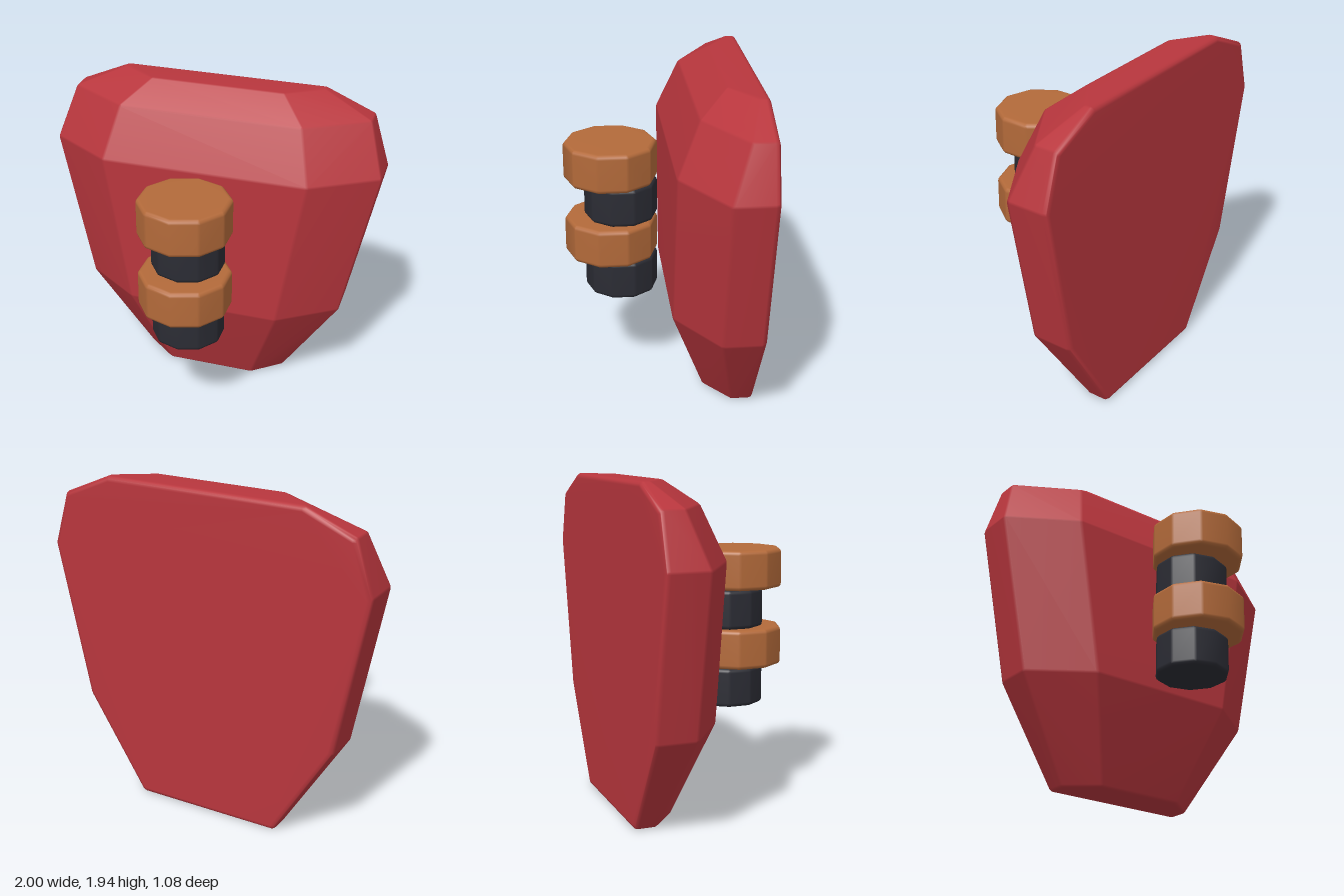
import * as THREE from 'three';
import { ConvexGeometry } from 'three/addons/geometries/ConvexGeometry.js';
import { mergeVertices } from 'three/addons/utils/BufferGeometryUtils.js';

const material = (name, color) => {
  const m = new THREE.MeshStandardMaterial({ color });
  m.name = name;
  return m;
};

// Convex solid with every corner replaced by a small ball, giving rounded edges.
// Area-weighted normals keep the large faces flat and the bevels soft.
function roundedHull(corners, r) {
  const ball = new THREE.SphereGeometry(r, 8, 6).attributes.position;
  const points = [];
  for (const c of corners) {
    for (let i = 0; i < ball.count; i++) {
      points.push(new THREE.Vector3().fromBufferAttribute(ball, i).add(c));
    }
  }
  const hull = new ConvexGeometry(points);
  hull.deleteAttribute('normal');
  const geometry = mergeVertices(hull, 1e-5);
  geometry.computeVertexNormals();
  return geometry;
}

function shieldGeometry() {
  const r = 0.03, back = -0.54;
  // y, outer half width, side edge z, front half width, front z
  const sections = [
    [0.00, 0.46, -0.40, 0.28, -0.25],
    [0.59, 0.81, -0.29, 0.47, -0.05],
    [1.50, 1.00, -0.29, 0.62, -0.05],
    [1.79, 0.91, -0.39, 0.55, -0.17],
    [1.94, 0.63, -0.47, 0.41, -0.32],
  ];
  const corners = [];
  sections.forEach(([y, w, side, fw, front], i) => {
    const yy = i === 0 ? y + r : i === sections.length - 1 ? y - r : y;
    for (const s of [-1, 1]) {
      corners.push(
        new THREE.Vector3(s * (w - r), yy, back + r),
        new THREE.Vector3(s * (w - r), yy, side - r / 2),
        new THREE.Vector3(s * (fw - r / 2), yy, front - r),
      );
    }
  });
  return roundedHull(corners, r);
}

// Ten-sided disc with rounded edges, a corner pointing forward
function discGeometry(radius, height) {
  const r = 0.025, corners = [];
  for (let i = 0; i < 10; i++) {
    const a = (i / 10) * Math.PI * 2;
    for (const s of [-1, 1]) {
      corners.push(new THREE.Vector3(
        Math.sin(a) * (radius - r), s * (height / 2 - r), Math.cos(a) * (radius - r)));
    }
  }
  return roundedHull(corners, r);
}

export function createModel() {
  const group = new THREE.Group();
  group.name = 'shieldWithGrip';
  const red = material('red', 0xb8363d);
  const orange = material('orange', 0xb36a3a);
  const dark = material('charcoal', 0x2b2c34);

  const add = (name, geometry, mat, y = 0, z = 0) => {
    const mesh = new THREE.Mesh(geometry, mat);
    mesh.name = name;
    mesh.position.set(0, y, z);
    group.add(mesh);
  };

  // Faceted shield plate
  add('shield', shieldGeometry(), red);

  // Stacked grip: alternating narrow dark and wide orange discs
  const narrow = discGeometry(0.214, 0.232);
  const wide = discGeometry(0.272, 0.232);
  [0.7, 1.165].forEach((y, i) => {
    add(`darkGripRing${i + 1}`, narrow, dark, y, 0.212);
    add(`orangeGripRing${i + 1}`, wide, orange, y + 0.233, 0.27);
  });
  return group;
}
